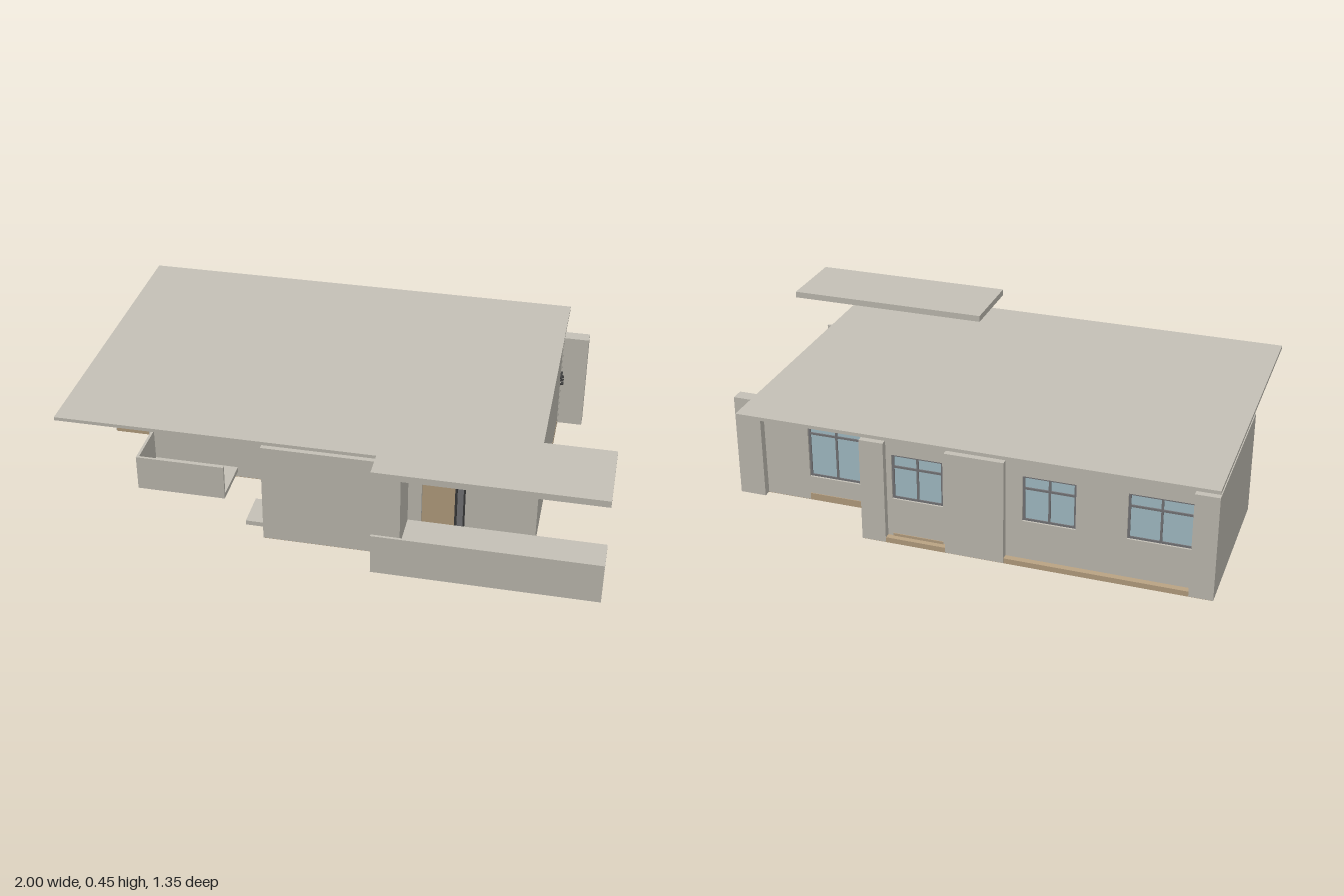
import * as THREE from 'three';

const mat = (name, hex) => {
  const m = new THREE.MeshStandardMaterial({ color: hex });
  m.name = name;
  return m;
};

export function createModel() {
  const house = new THREE.Group();
  house.name = 'house';
  const plaster = mat('plaster', 0xc4c0b6);
  const wood = mat('wood', 0xbaa383);
  const glass = mat('glass', 0xa8c3cc);
  const frame = mat('frame', 0x77777a);
  const metal = mat('dark metal', 0x3c3c3c);

  const add = (name, geo, m) => {
    const mesh = new THREE.Mesh(geo, m);
    mesh.name = name;
    house.add(mesh);
    return mesh;
  };
  // box given by its limits on each axis
  const box = (name, x0, x1, y0, y1, z0, z1, m = plaster) => {
    const b = add(name, new THREE.BoxGeometry(x1 - x0, y1 - y0, z1 - z0), m);
    b.position.set((x0 + x1) / 2, (y0 + y1) / 2, (z0 + z1) / 2);
    return b;
  };

  const H = 0.397, B = 0.002, T = 0.03;
  // wall facing front or back, with rectangular openings [x0, x1, y0, y1]
  const wall = (name, x0, x1, z0, openings = []) => {
    const rect = (a, b, c, d, P) =>
      new P([[a, c], [b, c], [b, d], [a, d]].map(p => new THREE.Vector2(...p)));
    const s = rect(x0, x1, B, H, THREE.Shape);
    s.holes = openings.map(o => rect(...o, THREE.Path));
    const g = new THREE.ExtrudeGeometry(s, { depth: T, bevelEnabled: false });
    add(name, g.translate(0, 0, z0), plaster);
  };
  // glazed window: pane, surround, centre mullion and transom; z is the pane centre
  const windowUnit = (x0, x1, y0, y1, z, w = 0.008, bars = true) => {
    const a = z - 0.007, b = z + 0.007, mid = (x0 + x1) / 2, tr = y1 - (y1 - y0) * 0.28;
    box('windowPane', x0, x1, y0, y1, z - 0.003, z + 0.003, glass);
    box('windowFrame', x0, x0 + w, y0, y1, a, b, frame);
    box('windowFrame', x1 - w, x1, y0, y1, a, b, frame);
    box('windowFrame', x0 + w, x1 - w, y0, y0 + w, a, b, frame);
    box('windowFrame', x0 + w, x1 - w, y1 - w, y1, a, b, frame);
    if (!bars) return;
    box('windowMullion', mid - w / 2, mid + w / 2, y0 + w, y1 - w, a, b, frame);
    box('windowTransom', x0 + w, x1 - w, tr - w / 2, tr + w / 2, a - 0.001, b + 0.001, frame);
  };

  // floor plate following the stepped plan
  const plan = [[-1, -0.675], [0.27, -0.675], [0.27, -0.48], [0.74, -0.48], [0.74, 0.375],
    [0.27, 0.375], [0.27, 0.535], [-0.235, 0.535], [-0.235, 0.18], [-0.78, 0.18],
    [-0.78, -0.03], [-1, -0.03]];
  const floorShape = new THREE.Shape(plan.map(p => new THREE.Vector2(p[0] * 0.997, p[1] * 0.997)));
  const floorGeo = new THREE.ExtrudeGeometry(floorShape, { depth: 0.02, bevelEnabled: false });
  add('floor', floorGeo.rotateX(Math.PI / 2).translate(0, 0.02, 0), wood);

  // roof and the layer it rests on
  box('roof', -1, 0.742, 0.41, 0.423, -0.675, 0.535);
  box('roofBearers', -0.95, 0.7, 0.395, 0.41, -0.63, 0.5);

  // front walls
  wall('frontLeftWall', -1, -0.78, -0.03 - T);
  const frontWindows = [[-0.62, -0.53, 0.26, 0.32], [-0.41, -0.345, 0.26, 0.32]];
  wall('frontRecessWall', -0.78, -0.235, 0.18 - T, frontWindows);
  frontWindows.forEach(o => windowUnit(...o, 0.165, 0.004, false));
  wall('frontBlockWall', -0.235, 0.27, 0.535 - T);
  wall('entranceWall', 0.27, 0.74, 0.375 - T, [[0.32, 0.48, 0.02, 0.32]]);

  // entrance door
  box('door', 0.32, 0.445, 0.02, 0.32, 0.352, 0.362, wood);
  box('doorSidePane', 0.445, 0.48, 0.02, 0.32, 0.354, 0.36, frame);
  for (const x of [0.441, 0.472]) box('doorFrame', x, x + 0.008, 0.02, 0.32, 0.35, 0.368, metal);

  // back walls, pillars and windows
  const bay = [0.34, 0.56, 0.1, 0.345];
  wall('backRecessWall', 0.27, 0.74, -0.48, [bay]);
  windowUnit(...bay, -0.465);
  const backWindows = [[-0.92, -0.69, 0.17, 0.345], [-0.51, -0.32, 0.17, 0.345], [-0.03, 0.16, 0.17, 0.345]];
  wall('backWall', -1, 0.27, -0.65, backWindows);
  backWindows.forEach(o => windowUnit(...o, -0.636));
  for (const [x0, x1] of [[-1, -0.915], [-0.26, -0.045], [0.18, 0.27]])
    box('backPillar', x0, x1, B, H, -0.675, -0.65);
  // timber base strips below the windows
  box('baseStrip', 0.34, 0.56, 0.004, 0.03, -0.483, -0.479, wood);
  box('baseStrip', -0.03, 0.16, 0.004, 0.03, -0.653, -0.649, wood);

  // side walls: x limits, then z limits
  const sides = [[-1, -0.97, -0.65, -0.06], [-0.78, -0.75, -0.06, 0.15], [-0.235, -0.205, 0.15, 0.505],
    [0.24, 0.27, 0.345, 0.505], [0.24, 0.27, -0.62, -0.45],
    [0.71, 0.74, -0.01, 0.345], [0.707, 0.737, -0.45, -0.01]];
  for (const [x0, x1, z0, z1] of sides) box('sideWall', x0, x1, B, H, z0, z1);

  // projecting fin at the back corner, with small brackets beside it
  box('cornerFin', 0.735, 0.835, B, H, -0.51, -0.46);
  for (let i = 0; i < 3; i++)
    box('bracket', 0.737, 0.75, 0.192 + i * 0.016, 0.196 + i * 0.016, -0.458, -0.442, metal);
  box('bracketArm', 0.737, 0.745, 0.243, 0.247, -0.445, -0.41, metal).rotation.x = 0.45;

  // right balcony and its canopy
  box('balconySlab', 0.19, 1, 0.022, 0.045, 0.375, 0.665);
  box('balconyParapet', 0.19, 1, 0.022, 0.18, 0.665, 0.675);
  box('canopy', 0.19, 1, 0.425, 0.45, 0.375, 0.675);

  // left balcony and the ledge next to it
  box('leftBalconySlab', -0.77, -0.43, 0.027, 0.045, 0.18, 0.355);
  box('leftBalconyParapet', -0.77, -0.43, 0.027, 0.167, 0.355, 0.365);
  box('leftBalconySide', -0.77, -0.76, 0.045, 0.167, 0.18, 0.355);
  box('ledge', -0.31, -0.235, 0.024, 0.042, 0.36, 0.5);

  return house;
}
